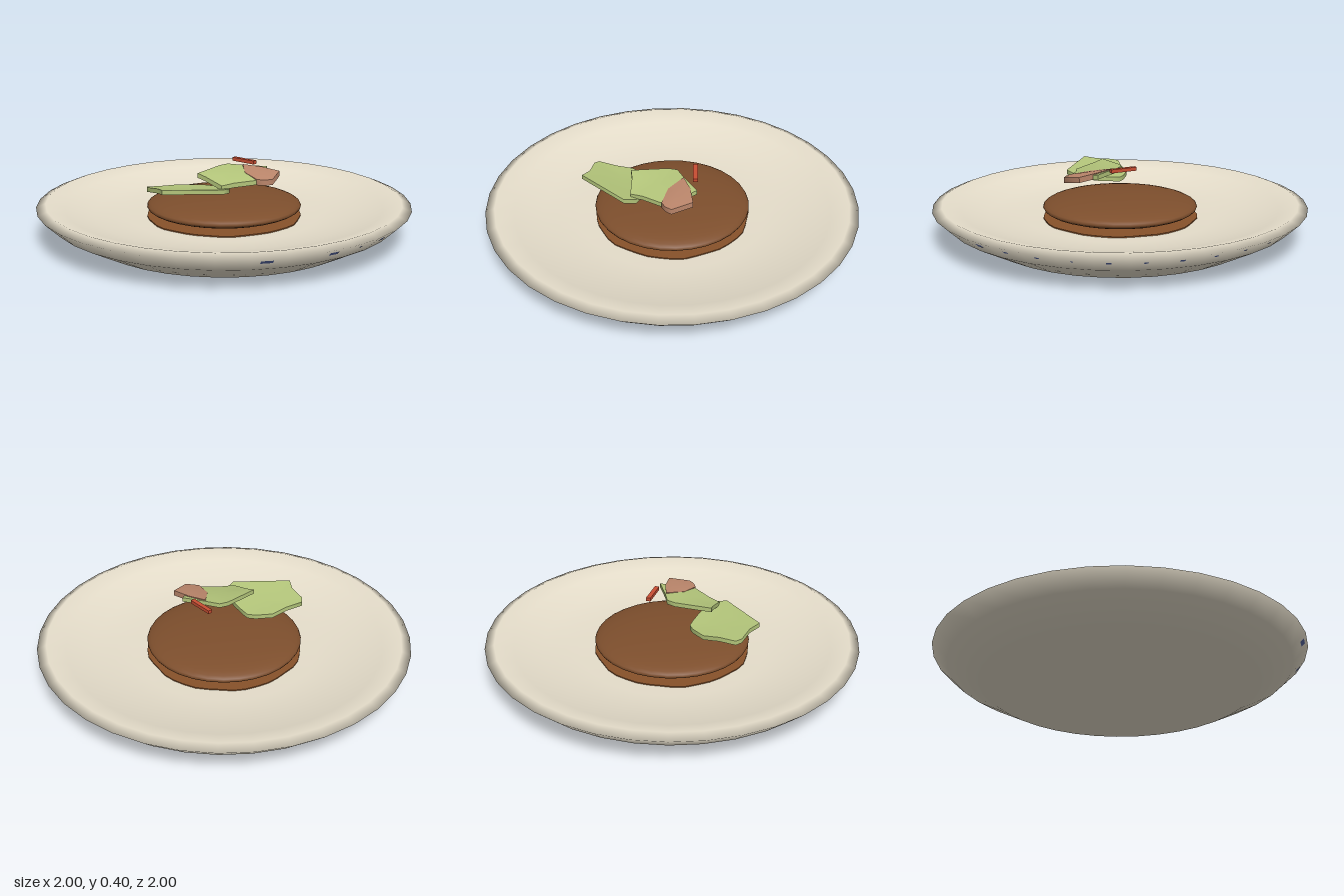
import * as THREE from 'three';
import { toCreasedNormals } from 'three/addons/utils/BufferGeometryUtils.js';

const material = (name, color) => {
  const m = new THREE.MeshStandardMaterial({ color });
  m.name = name;
  return m;
};

// Thin slab with an [x, z] outline (anticlockwise from above) and top height f(x, z, t),
// where t runs from 0 at the middle to 1 at the edge
function slab(outline, thickness, f) {
  const n = outline.length;
  const cx = outline.reduce((s, p) => s + p[0], 0) / n;
  const cz = outline.reduce((s, p) => s + p[1], 0) / n;
  const at = (i, t, drop) => {
    const p = outline[i % n];
    const x = cx + (p[0] - cx) * t, z = cz + (p[1] - cz) * t;
    return [x, f(x, z, t) - drop, z];
  };
  const pos = [];
  const tri = (a, b, c) => pos.push(...a, ...b, ...c);
  const quad = (a, b, c, d) => { tri(a, b, c); tri(a, c, d); };
  for (let i = 0; i < n; i++) {
    const j = i + 1, h = thickness;
    tri(at(i, 0, 0), at(i, 0.6, 0), at(j, 0.6, 0));
    quad(at(i, 0.6, 0), at(i, 1, 0), at(j, 1, 0), at(j, 0.6, 0));
    tri(at(i, 0, h), at(j, 0.6, h), at(i, 0.6, h));
    quad(at(i, 0.6, h), at(j, 0.6, h), at(j, 1, h), at(i, 1, h));
    quad(at(i, 1, 0), at(i, 1, h), at(j, 1, h), at(j, 1, 0));
  }
  const g = new THREE.BufferGeometry();
  g.setAttribute('position', new THREE.Float32BufferAttribute(pos, 3));
  return toCreasedNormals(g, 1.1);
}

export function createModel() {
  const model = new THREE.Group();
  model.name = 'platedDish';
  const ceramic = material('cream ceramic', 0xe6decb);
  const glaze = material('blue glaze', 0x5a6aa6);
  const pattyBrown = material('patty brown', 0x7e4f2d);
  const sauceBrown = material('sauce brown', 0x88522a);
  const green = material('leaf green', 0xb3c57a);
  const pink = material('pink slice', 0xbb866b);
  const red = material('red strip', 0xc84d32);

  const add = (name, geometry, mat, parent = model) => {
    const mesh = new THREE.Mesh(geometry, mat);
    mesh.name = name;
    parent.add(mesh);
    return mesh;
  };

  // Plate: flat foot, flared wall, rounded lip, shallow well
  const profile = [
    [0, 0], [0.72, 0], [0.92, 0.105], [1, 0.18], [0.95, 0.2],
    [0.85, 0.172], [0.7, 0.132], [0.5, 0.106], [0, 0.1],
  ].map(p => new THREE.Vector2(...p));
  add('plate', new THREE.LatheGeometry(profile, 36), ceramic);

  // Glaze flecks under the lip: width for every ten degrees from front to back
  const flecks = new THREE.Group();
  flecks.name = 'rimFlecks';
  model.add(flecks);
  const widths = [0, 0.06, 0, 0.05, 0.02, 0.045, 0.018, 0.045, 0.025, 0.022,
    0.012, 0.026, 0.02, 0.026, 0.022, 0.022, 0.02, 0.02, 0.018, 0.014];
  widths.forEach((width, k) => {
    if (!width) return;
    const pivot = new THREE.Group();
    pivot.name = 'fleck';
    pivot.rotation.y = THREE.MathUtils.degToRad(k * 10 + 4);
    const height = Math.min(0.026, width * 0.6);
    const fleck = add('fleckPlate', new THREE.PlaneGeometry(width, height), glaze, pivot);
    fleck.position.set(0, 0.157, 0.974);
    fleck.rotation.x = 0.82;
    flecks.add(pivot);
  });

  // Sauce pool with a slightly uneven edge
  const pool = [];
  for (let i = 0; i < 40; i++) {
    const a = i / 40 * Math.PI * 2;
    const r = 0.414 + 0.004 * Math.sin(a * 7 + 1) + 0.003 * Math.sin(a * 13);
    pool.push([r * Math.sin(a), r * Math.cos(a)]);
  }
  add('sauce', slab(pool, 0.012, () => 0.111), sauceBrown);

  // Domed round patty
  const patty = add('patty', new THREE.SphereGeometry(1, 32, 20), pattyBrown);
  patty.scale.set(0.415, 0.062, 0.415);
  patty.position.y = 0.165;

  // Garnish leaves, the large one cupped and the small one folded up at its left tip
  add('largeLeaf', slab([
    [-0.39, 0.21], [-0.385, 0.245], [-0.32, 0.315], [-0.295, 0.38], [0.015, 0.32], [0.04, 0.26],
    [-0.02, 0.15], [-0.085, 0.085], [-0.115, 0.06], [-0.16, 0.06], [-0.25, 0.085], [-0.31, 0.15],
  ], 0.024, (x, z, t) => 0.287 + 0.155 * (z - 0.06) - 0.008 * (1 - t)), green);
  add('smallLeaf', slab([
    [-0.13, 0.175], [-0.085, 0.2], [0, 0.27], [0.06, 0.235], [0.165, 0.2], [0.2, 0.18],
    [0.23, 0.01], [0.1, -0.005], [0.02, -0.02], [-0.02, 0.01],
  ], 0.024, (x, z, t) => 0.38 - 0.17 * z + 0.2 * Math.max(0, -x) + 0.008 * (1 - t)), green);

  // Pink slice resting on the small leaf
  add('pinkSlice', slab([
    [0.1, 0], [0.115, 0.11], [0.18, 0.2], [0.22, 0.205], [0.26, 0.195], [0.295, 0.085], [0.2, 0.03],
  ], 0.03, (x, z, t) => 0.386 - 0.17 * z + 0.006 * (1 - t)), pink);

  // Red strip on top
  const strip = add('redStrip', new THREE.BoxGeometry(0.145, 0.019, 0.024), red);
  strip.position.set(0.107, 0.389, -0.073);
  strip.rotation.y = -0.65;

  return model;
}
